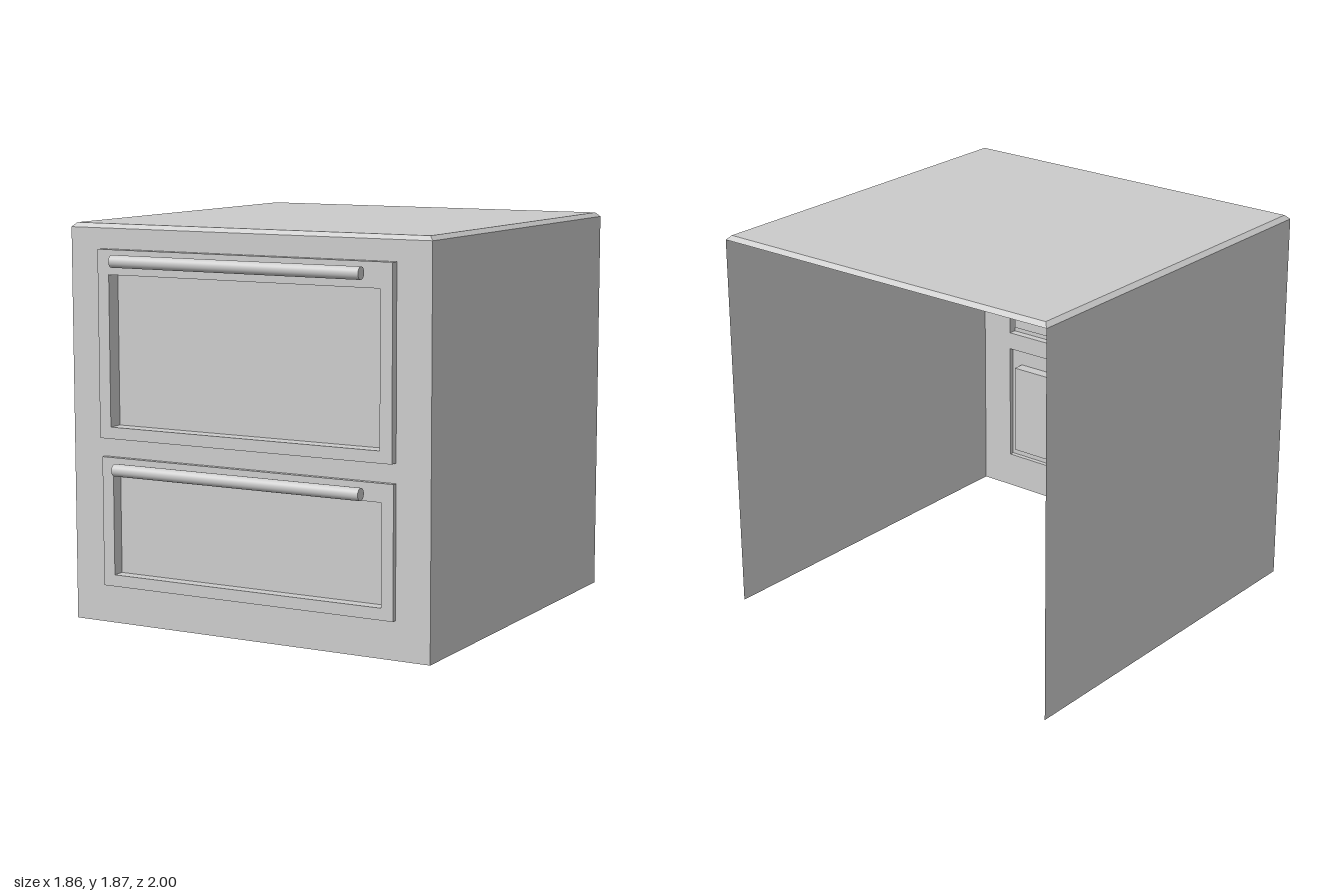
import * as THREE from 'three';

const material = new THREE.MeshStandardMaterial({ color: 0xcccccc, side: THREE.DoubleSide });
const flat = new THREE.MeshStandardMaterial({ color: 0xcccccc, side: THREE.DoubleSide, flatShading: true });

const W = 0.93, FRONT = 0.87, BACK = -1, WALL = 1.85, TOP = 1.87, BEVEL = 0.02;

function mesh(name, geometry, mat = flat) {
  const m = new THREE.Mesh(geometry, mat);
  m.name = name;
  return m;
}

// Thin skin stepping through rectangles [halfWidth, y0, y1, z]; the last one is closed
function steppedSkin(rects) {
  const pos = [];
  const loops = rects.map(([w, y0, y1, z]) => [[-w, y0, z], [w, y0, z], [w, y1, z], [-w, y1, z]]);
  const quad = (a, b, c, d) => pos.push(...a, ...b, ...c, ...a, ...c, ...d);
  for (let k = 0; k < loops.length - 1; k++) {
    for (let i = 0; i < 4; i++) {
      const j = (i + 1) % 4;
      quad(loops[k][i], loops[k][j], loops[k + 1][j], loops[k + 1][i]);
    }
  }
  quad(...loops[loops.length - 1]);
  const g = new THREE.BufferGeometry();
  g.setAttribute('position', new THREE.Float32BufferAttribute(pos, 3));
  g.computeVertexNormals();
  return g;
}

function rectPath(path, w, y0, y1) {
  path.moveTo(-w, y0);
  path.lineTo(w, y0);
  path.lineTo(w, y1);
  path.lineTo(-w, y1);
  path.closePath();
  return path;
}

const drawers = [
  { name: 'upperDrawer', y0: 0.88, y1: 1.755, in0: 0.935, in1: 1.64, face: 0.91, handleY: 1.708 },
  { name: 'lowerDrawer', y0: 0.18, y1: 0.79, in0: 0.235, in1: 0.705, face: 0.895, handleY: 0.748 },
];
const DRAWER_W = 0.76, INNER_W = 0.7, RECESS = 0.835;

function createDrawer(d) {
  const group = new THREE.Group();
  group.name = d.name;

  // Raised frame with a recessed panel
  group.add(mesh('drawerFront', steppedSkin([
    [DRAWER_W, d.y0, d.y1, FRONT],
    [DRAWER_W, d.y0, d.y1, d.face],
    [INNER_W, d.in0, d.in1, d.face],
    [INNER_W, d.in0, d.in1, RECESS],
  ])));

  // Round bar on two flat brackets
  const bar = mesh('handleBar', new THREE.CylinderGeometry(0.029, 0.029, 1.28, 32), material);
  bar.rotation.z = Math.PI / 2;
  bar.position.set(0, d.handleY, 0.971);
  group.add(bar);
  for (const side of [-1, 1]) {
    const depth = 0.955 - d.face;
    const bracket = mesh('handleBracket', new THREE.BoxGeometry(0.16, 0.012, depth));
    bracket.position.set(side * 0.4, d.handleY, d.face + depth / 2);
    group.add(bracket);
  }
  return group;
}

export function createModel() {
  const group = new THREE.Group();
  group.name = 'drawerCabinet';

  // Front panel with an opening for each drawer
  const shape = rectPath(new THREE.Shape(), W, 0, WALL);
  for (const d of drawers) shape.holes.push(rectPath(new THREE.Path(), DRAWER_W, d.y0, d.y1));
  const front = mesh('frontPanel', new THREE.ShapeGeometry(shape));
  front.position.z = FRONT;
  group.add(front);

  // Side walls; the back and the underside stay open
  for (const side of [-1, 1]) {
    const wall = mesh(side > 0 ? 'leftWall' : 'rightWall', new THREE.PlaneGeometry(FRONT - BACK, WALL));
    wall.rotation.y = side * Math.PI / 2;
    wall.position.set(side * W, WALL / 2, (FRONT + BACK) / 2);
    group.add(wall);
  }

  // Top with bevelled rim
  const top = mesh('top', steppedSkin([
    [W, -FRONT, -BACK, WALL],
    [W - BEVEL, -FRONT + BEVEL, -BACK - BEVEL, TOP],
  ]));
  top.rotation.x = -Math.PI / 2;
  group.add(top);

  for (const d of drawers) group.add(createDrawer(d));
  return group;
}
